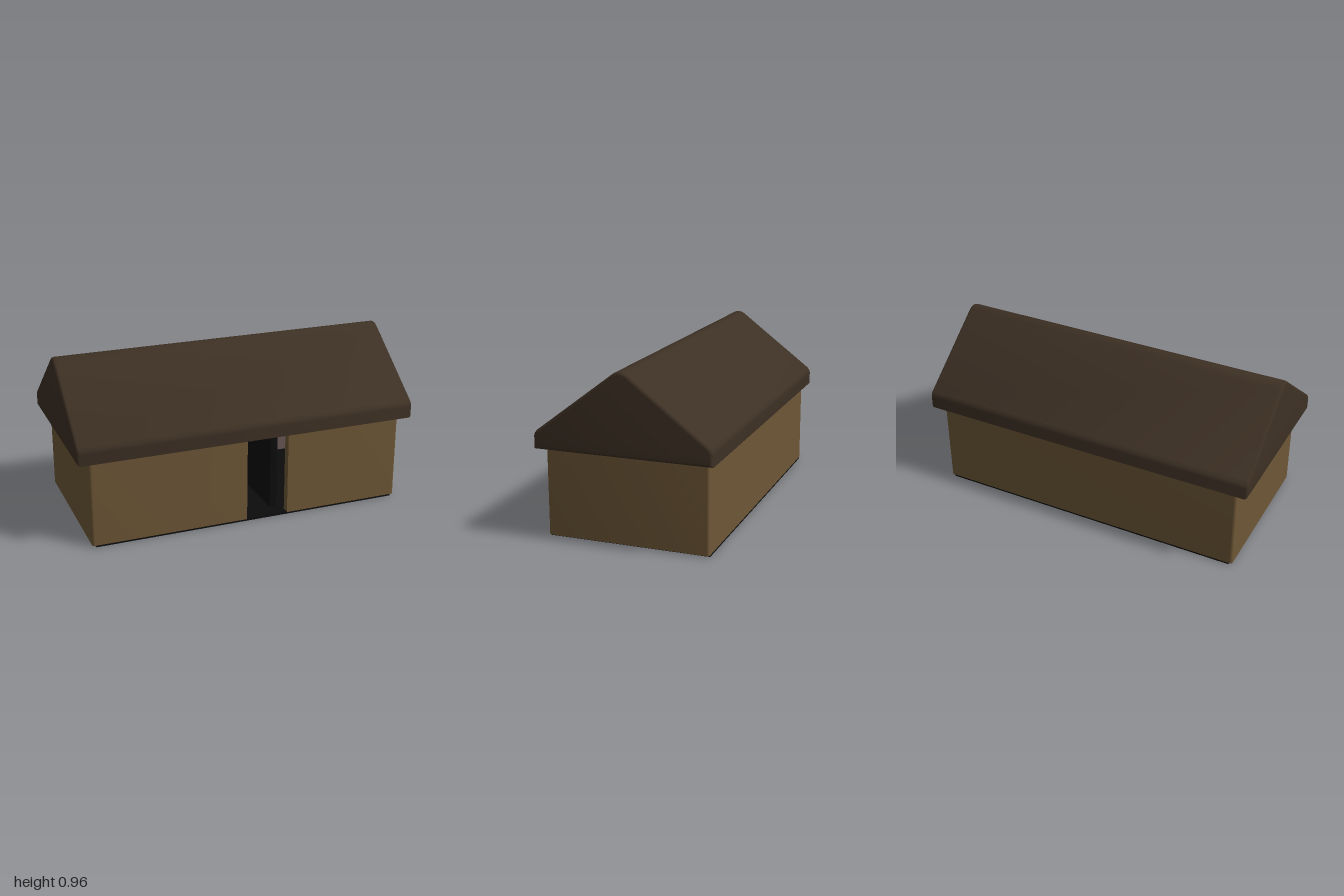
import * as THREE from 'three';
import { toCreasedNormals } from 'three/addons/utils/BufferGeometryUtils.js';

const WALL = 0x6d5636, ROOF = 0x3d3024, DARK = 0x0c0c0c, LINING = 0x6b5757;

export function createModel() {
  const model = new THREE.Group();

  function add(name, geometry, color) {
    const mesh = new THREE.Mesh(geometry, new THREE.MeshStandardMaterial({ color }));
    mesh.name = name;
    model.add(mesh);
    return mesh;
  }

  function box(name, color, x0, x1, y0, y1, z0, z1) {
    const mesh = add(name, new THREE.BoxGeometry(x1 - x0, y1 - y0, z1 - z0), color);
    mesh.position.set((x0 + x1) / 2, (y0 + y1) / 2, (z0 + z1) / 2);
    return mesh;
  }

  // Floor slab
  box('floor', DARK, -0.91, 0.91, 0, 0.012, -0.457, 0.457);

  // Walls: a ring in plan, open at the doorway, with softened outer corners
  const W = 0.93, D = 0.458, t = 0.045, r = 0.015;
  const doorLeft = -0.02, doorRight = 0.23;
  const plan = new THREE.Shape();
  plan.moveTo(doorRight, -D);
  plan.lineTo(W - r, -D);
  plan.quadraticCurveTo(W, -D, W, -D + r);
  plan.lineTo(W, D - r);
  plan.quadraticCurveTo(W, D, W - r, D);
  plan.lineTo(-W + r, D);
  plan.quadraticCurveTo(-W, D, -W, D - r);
  plan.lineTo(-W, -D + r);
  plan.quadraticCurveTo(-W, -D, -W + r, -D);
  plan.lineTo(doorLeft, -D);
  plan.lineTo(doorLeft, -D + t);
  plan.lineTo(-W + t, -D + t);
  plan.lineTo(-W + t, D - t);
  plan.lineTo(W - t, D - t);
  plan.lineTo(W - t, -D + t);
  plan.lineTo(doorRight, -D + t);
  plan.closePath();
  const walls = new THREE.ExtrudeGeometry(plan, { depth: 0.505, bevelEnabled: false, curveSegments: 5 });
  walls.rotateX(-Math.PI / 2);
  walls.translate(0, 0.01, 0);
  add('walls', toCreasedNormals(walls, 0.6), WALL);

  // Interior: lining on the back wall and a dark dividing wall
  box('backLining', LINING, -W + t, W - t, 0.012, 0.51, -D + t, -D + t + 0.005);
  box('dividingWall', DARK, 0.163, 0.205, 0.012, 0.51, -D + t, 0.36);

  // Roof: solid gable with rounded ridge and eaves, bevelled at both ends
  const gable = new THREE.Shape();
  gable.moveTo(-0.497, 0.508);
  gable.lineTo(0.497, 0.508);
  gable.lineTo(0.497, 0.575);
  gable.quadraticCurveTo(0.497, 0.597, 0.475, 0.615);
  gable.lineTo(0.05, 0.938);
  gable.quadraticCurveTo(0, 0.981, -0.05, 0.938);
  gable.lineTo(-0.475, 0.615);
  gable.quadraticCurveTo(-0.497, 0.597, -0.497, 0.575);
  gable.closePath();
  const b = 0.018;
  const roof = new THREE.ExtrudeGeometry(gable, {
    depth: 2 - 2 * b, bevelThickness: b, bevelSize: b, bevelOffset: -b, bevelSegments: 4, curveSegments: 8,
  });
  roof.translate(0, 0, -1 + b);
  roof.rotateY(Math.PI / 2);
  add('roof', toCreasedNormals(roof, 0.6), ROOF);

  return model;
}
